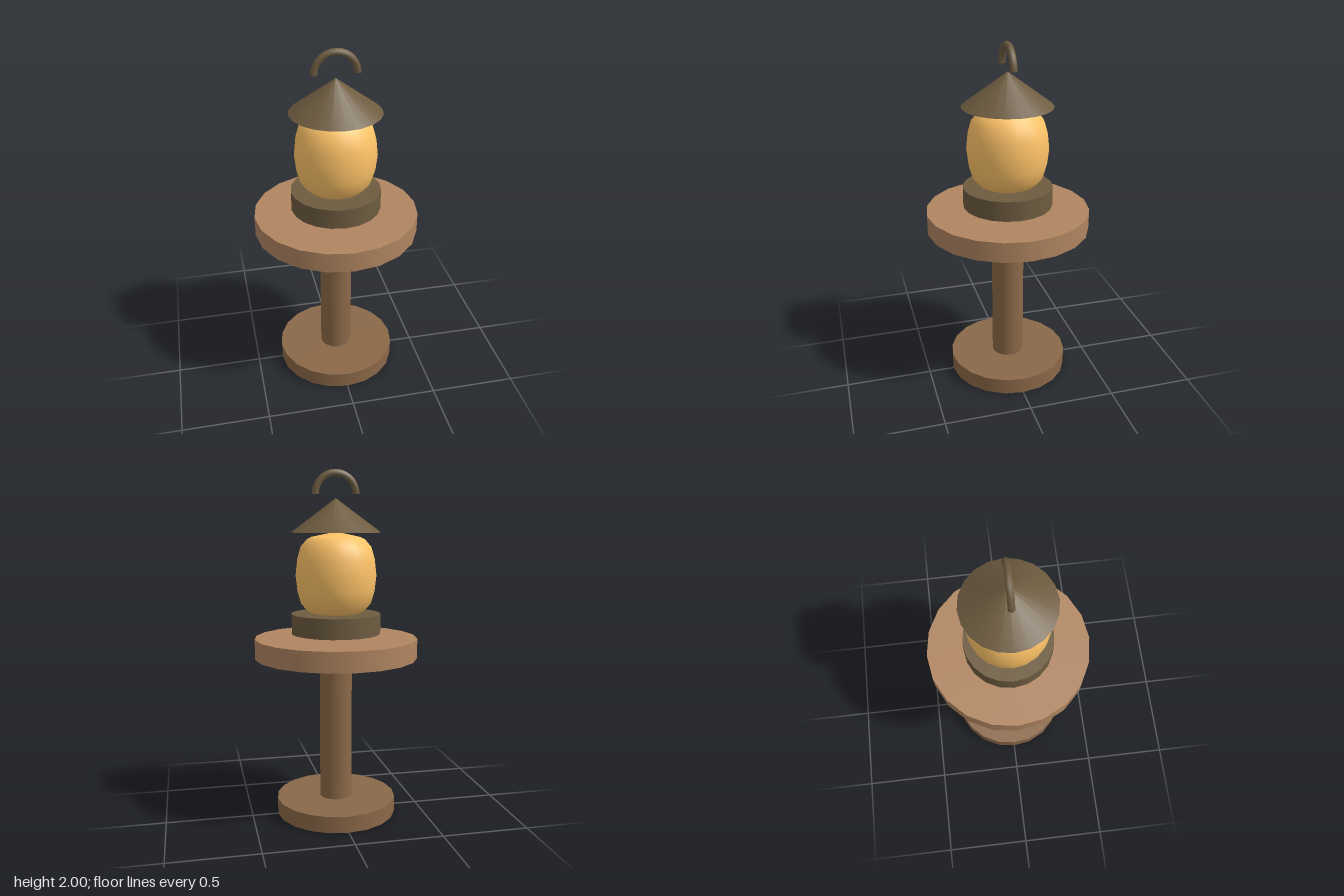
import * as THREE from 'three';

const SIDES = 20;
const material = (color, side = THREE.FrontSide) => new THREE.MeshStandardMaterial({ color, side });

export function createModel() {
  const model = new THREE.Group();
  model.name = 'lanternOnTable';
  const wood = material(0x8b6848);
  const paleWood = material(0xb08560);
  const iron = material(0x6e5c40);
  const glow = material(0xffc468, THREE.DoubleSide);
  const hookIron = material(0x6e5c40, THREE.DoubleSide);

  const add = (name, geometry, mat, y = 0) => {
    const mesh = new THREE.Mesh(geometry, mat);
    mesh.name = name;
    mesh.position.y = y;
    model.add(mesh);
    return mesh;
  };
  // Upright cylinder between two heights
  const disc = (name, radius, bottom, top, mat) =>
    add(name, new THREE.CylinderGeometry(radius, radius, top - bottom, SIDES), mat, (bottom + top) / 2);

  // Pedestal table
  disc('tableFoot', 0.35, 0, 0.095, wood);
  disc('tablePost', 0.094, 0.095, 0.935, wood);
  disc('tableTop', 0.47, 0.935, 1.05, paleWood);

  // Lantern base
  disc('lanternBase', 0.257, 1.075, 1.19, iron);

  // Glowing barrel-shaped glass, mirrored about its middle
  const half = [[0, 0.245], [0.14, 0.215], [0.165, 0.203], [0.202, 0.16], [0.222, 0.09]];
  const profile = [
    ...half.map(([r, h]) => new THREE.Vector2(r, -h)),
    new THREE.Vector2(0.232, 0),
    ...half.slice().reverse().map(([r, h]) => new THREE.Vector2(r, h)),
  ];
  add('lanternGlass', new THREE.LatheGeometry(profile, SIDES), glow, 1.41);

  // Conical roof
  add('lanternRoof', new THREE.ConeGeometry(0.257, 0.19, SIDES), iron, 1.745);

  // Half-ring carrying hook, floating above the roof
  add('carryingHook', new THREE.TorusGeometry(0.117, 0.02, 6, 14, Math.PI), hookIron, 1.863);

  return model;
}
